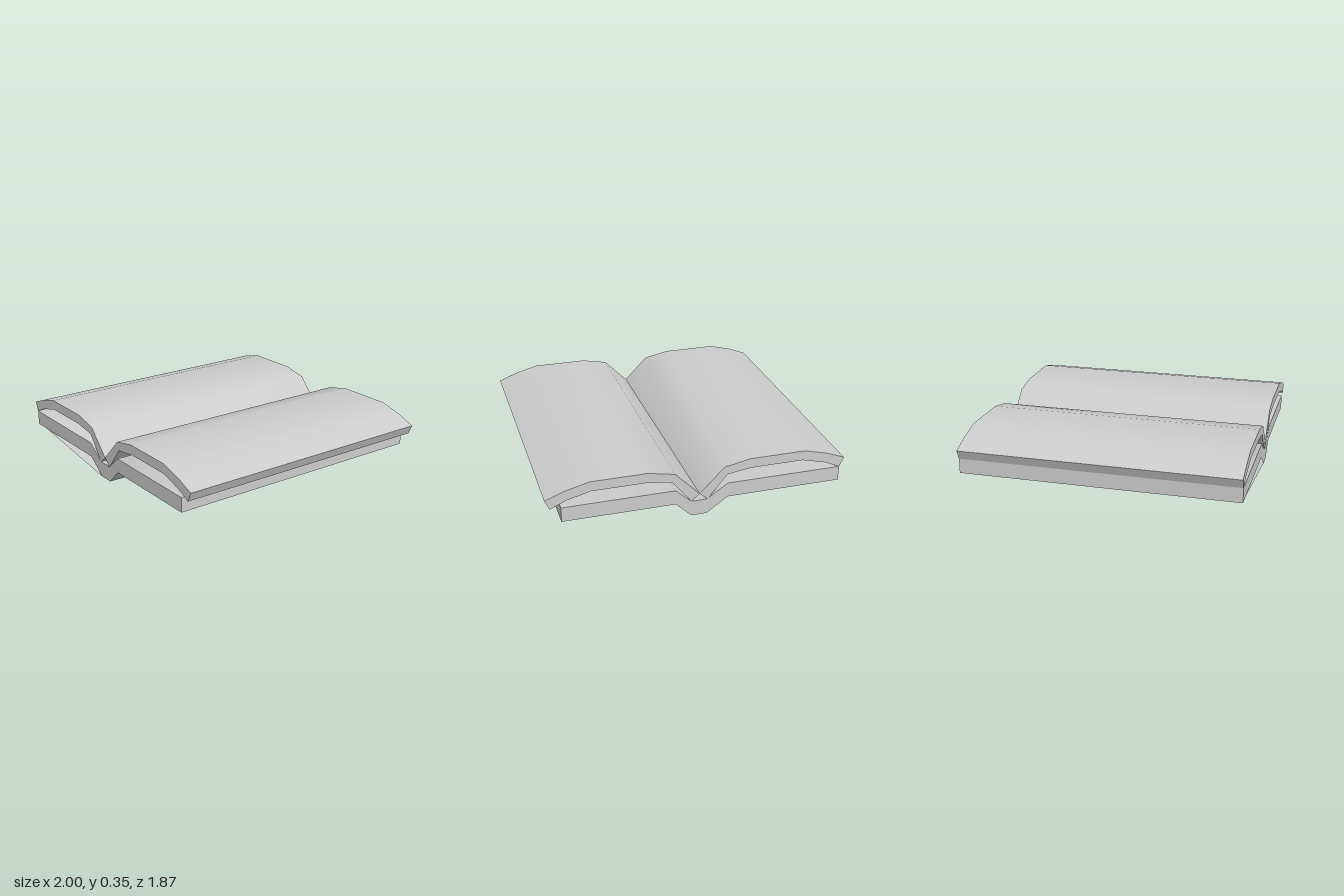
import * as THREE from 'three';
import { toCreasedNormals } from 'three/addons/utils/BufferGeometryUtils.js';

const HALF_DEPTH = 0.935;

// Sweeps a counter-clockwise profile [x, y] along z and caps both ends.
// wallFront may give the walls a different front outline than the cap.
function sweep(name, profile, wallFront = profile) {
  const pos = [];
  const put = (z, [x, y]) => pos.push(x, y, z);
  const n = profile.length;
  const F = HALF_DEPTH, B = -HALF_DEPTH;
  for (let i = 0; i < n; i++) {
    const j = (i + 1) % n;
    put(F, wallFront[i]); put(B, profile[i]); put(F, wallFront[j]);
    put(F, wallFront[j]); put(B, profile[i]); put(B, profile[j]);
  }
  const points = profile.map(([x, y]) => new THREE.Vector2(x, y));
  for (const [a, b, c] of THREE.ShapeUtils.triangulateShape(points, [])) {
    put(F, profile[a]); put(F, profile[b]); put(F, profile[c]);
    put(B, profile[a]); put(B, profile[c]); put(B, profile[b]);
  }
  const geometry = new THREE.BufferGeometry();
  geometry.setAttribute('position', new THREE.Float32BufferAttribute(pos, 3));
  const material = new THREE.MeshStandardMaterial({ color: 0xcccccc, side: THREE.DoubleSide });
  const mesh = new THREE.Mesh(toCreasedNormals(geometry, 0.9), material);
  mesh.name = name;
  return mesh;
}

export function createModel() {
  const book = new THREE.Group();
  book.name = 'openBook';

  // Cover with a dropped spine; the left board is longer than the right
  const cover = [
    [-0.97, 0.1], [-0.19, 0.1], [-0.05, 0], [0.055, 0], [0.16, 0.1], [0.9, 0.1],
    [0.9, 0.2], [0.16, 0.2], [0.055, 0.105], [-0.05, 0.105], [-0.19, 0.2], [-0.97, 0.2],
  ];
  // Underside flares outward at the front of the left board
  const flared = cover.map((p, i) => (i === 1 ? [-0.85, 0.1] : p));
  book.add(sweep('cover', cover, flared));

  // Arched page blocks meeting at the gutter
  const page = [
    [0.055, 0.105], [0.185, 0.265], [0.345, 0.288], [0.705, 0.288], [0.865, 0.247], [0.97, 0.2],
    [1, 0.265], [0.87, 0.315], [0.715, 0.355], [0.34, 0.355], [0.165, 0.32], [0, 0.152],
  ];
  book.add(sweep('rightPages', page.map(([x, y]) => [-x, y]).reverse()));
  book.add(sweep('leftPages', page));

  return book;
}
